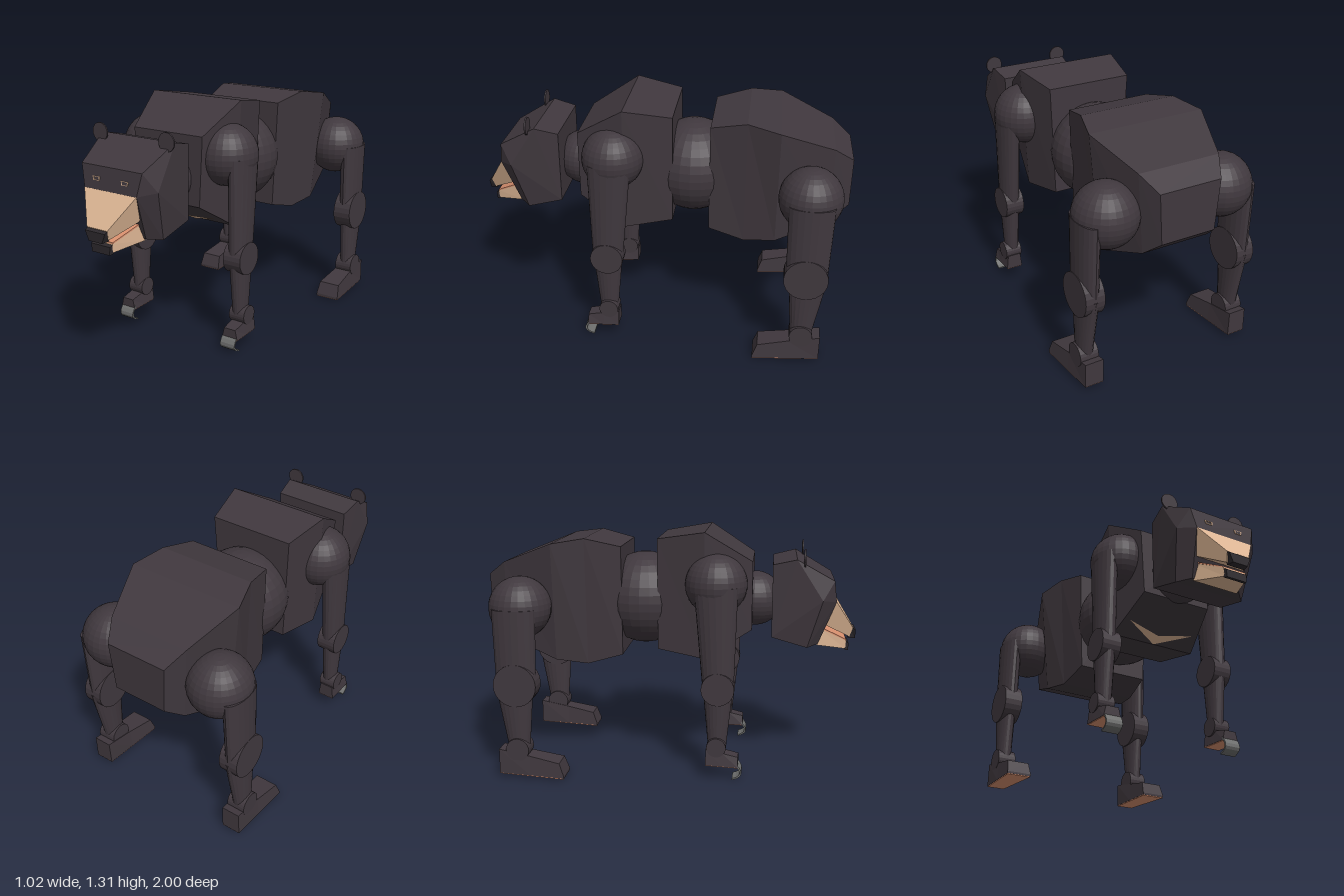
import * as THREE from 'three';
import { ConvexGeometry } from 'three/addons/geometries/ConvexGeometry.js';

const mat = (name, color) => {
  const m = new THREE.MeshStandardMaterial({ color });
  m.name = name;
  return m;
};

export function createModel() {
  const fur = mat('dark fur', 0x40383e);
  const tan = mat('tan fur', 0xe0b896);
  const pink = mat('pink skin', 0xd9906f);
  const black = mat('nose', 0x2c282c);
  const grey = mat('claw grey', 0x6e6f6e);

  const bear = new THREE.Group();
  bear.name = 'bear';

  // Faceted mesh helper
  const add = (parent, name, geometry, material, x = 0, y = 0, z = 0) => {
    const g = geometry.index ? geometry.toNonIndexed() : geometry;
    g.computeVertexNormals();
    const mesh = new THREE.Mesh(g, material);
    mesh.name = name;
    mesh.position.set(x, y, z);
    parent.add(mesh);
    return mesh;
  };

  // Four-sided body from rings [z, top, bottom, half width at top, half width at bottom], back to front
  const loft = (rings) => {
    const pos = [], idx = [];
    for (const [z, t, b, xt, xb = xt] of rings) pos.push(xt, t, z, -xt, t, z, -xb, b, z, xb, b, z);
    const n = rings.length;
    for (let i = 0; i < n - 1; i++) {
      for (let j = 0; j < 4; j++) {
        const a = i * 4 + j, b = i * 4 + (j + 1) % 4;
        idx.push(a, b, b + 4, a, b + 4, a + 4);
      }
    }
    const e = (n - 1) * 4;
    idx.push(0, 2, 1, 0, 3, 2, e, e + 1, e + 2, e, e + 2, e + 3);
    const g = new THREE.BufferGeometry();
    g.setAttribute('position', new THREE.Float32BufferAttribute(pos, 3));
    g.setIndex(idx);
    return g;
  };

  // Convex solid from points given for one side and mirrored
  const mirrored = (pts) => new ConvexGeometry(
    pts.flatMap(([x, y, z]) => [new THREE.Vector3(x, y, z), new THREE.Vector3(-x, y, z)]));

  // Tapered oval limb between two ends [y, z, half width, half depth]
  const limb = (top, bottom) => {
    const g = new THREE.CylinderGeometry(1, 1, 1, 20);
    const p = g.attributes.position;
    for (let i = 0; i < p.count; i++) {
      const [y, z, w, d] = top.map((v, k) => THREE.MathUtils.lerp(bottom[k], v, p.getY(i) + 0.5));
      p.setXYZ(i, p.getX(i) * w, y, z + p.getZ(i) * d);
    }
    return g;
  };

  const ball = (r) => new THREE.SphereGeometry(r, 28, 18);
  const joint = (r, width) => new THREE.CylinderGeometry(r, r, width, 24).rotateZ(Math.PI / 2);

  // Trunk
  add(bear, 'chest', loft([
    [-0.065, 1.275, 0.675, 0.235, 0.21],
    [0.19, 1.316, 0.635, 0.285, 0.25],
    [0.44, 1.16, 0.79, 0.22, 0.2],
  ]), fur);
  add(bear, 'waist', ball(0.255), fur, 0, 0.925, -0.16);
  add(bear, 'rump', loft([
    [-1, 1.065, 0.8, 0.17, 0.15],
    [-0.9, 1.14, 0.715, 0.225, 0.19],
    [-0.62, 1.25, 0.61, 0.322, 0.255],
    [-0.45, 1.275, 0.585, 0.27, 0.225],
    [-0.26, 1.23, 0.635, 0.23, 0.205],
  ]), fur);
  add(bear, 'neck', ball(0.15), fur, 0, 0.93, 0.45);

  // Pale V on the underside slope of the chest
  const markPoint = (x, y) => [x, y - 0.005, 0.19 + (y - 0.635) * 1.613 + 0.003];
  const mark = new THREE.BufferGeometry();
  mark.setAttribute('position', new THREE.Float32BufferAttribute([
    ...markPoint(-0.2, 0.695), ...markPoint(0, 0.637), ...markPoint(0, 0.668),
    ...markPoint(0, 0.637), ...markPoint(0.2, 0.695), ...markPoint(0, 0.668),
  ], 3));
  add(bear, 'chestMark', mark, tan);

  // Head
  const head = new THREE.Group();
  head.name = 'head';
  bear.add(head);
  add(head, 'skull', mirrored([
    [0.215, 1.145, 0.545], [0.21, 0.755, 0.545], [0.23, 1.175, 0.67], [0.2, 0.7, 0.735],
    [0.235, 0.96, 0.81], [0.19, 1.06, 0.87], [0.165, 0.945, 0.885], [0.14, 0.71, 0.795],
  ]), fur);
  add(head, 'muzzle', mirrored([
    [0.165, 0.945, 0.886], [0.14, 0.81, 0.84], [0.15, 0.9, 0.8],
    [0.065, 0.787, 0.985], [0.055, 0.735, 0.968],
  ]), tan);
  add(head, 'nose', loft([[0.96, 0.797, 0.727, 0.067, 0.05], [1.0, 0.775, 0.725, 0.063, 0.042]]), black);
  add(head, 'lowerJaw', loft([[0.79, 0.8, 0.7, 0.135, 0.13], [0.95, 0.715, 0.667, 0.065, 0.06]]), tan);
  add(head, 'mouth', loft([[0.8, 0.804, 0.796, 0.135], [0.95, 0.721, 0.714, 0.066]]), pink);
  add(head, 'jawTip', loft([[0.945, 0.712, 0.662, 0.064, 0.062], [0.965, 0.7, 0.658, 0.06, 0.056]]), black);

  for (const s of [1, -1]) {
    // Ears: thin upright discs
    add(head, 'ear', new THREE.CylinderGeometry(0.048, 0.048, 0.008, 20).rotateX(Math.PI / 2),
      fur, s * 0.21, 1.182, 0.71);

    // Eyes: thin outlines on the face
    const outline = (k) => [[-0.023, 0.01], [-0.017, -0.01], [0.02, -0.01], [0.023, 0.01]]
      .map(([x, y]) => new THREE.Vector2(-s * x * k, y * k));
    const eye = new THREE.Shape(outline(1));
    eye.holes.push(new THREE.Path(outline(0.74)));
    add(head, 'eye', new THREE.ExtrudeGeometry(eye, { depth: 0.005, bevelEnabled: false }),
      tan, s * 0.09, 0.998, 0.877).rotation.x = -0.13;
  }

  // Claw strip: curved profile in (z, y), swept across x
  const clawShape = new THREE.Shape();
  clawShape.moveTo(0.375, 0.1);
  clawShape.quadraticCurveTo(0.445, 0.03, 0.355, 0.008);
  clawShape.lineTo(0.355, 0.016);
  clawShape.quadraticCurveTo(0.425, 0.035, 0.375, 0.085);
  const claw = new THREE.ExtrudeGeometry(clawShape, { depth: 0.09, bevelEnabled: false, curveSegments: 6 })
    .translate(0, 0, -0.045).rotateY(-Math.PI / 2);

  for (const s of [1, -1]) {
    // Front legs
    const front = new THREE.Group();
    front.name = s > 0 ? 'leftFrontLeg' : 'rightFrontLeg';
    bear.add(front);
    const fx = s * 0.343;
    add(front, 'shoulder', ball(0.165), fur, s * 0.24, 1.04, 0.25);
    add(front, 'upperArm', limb([1.04, 0.255, 0.056, 0.115], [0.5, 0.272, 0.05, 0.083]), fur, fx);
    add(front, 'elbow', joint(0.088, 0.106), fur, fx, 0.505, 0.272);
    add(front, 'forearm', limb([0.5, 0.272, 0.05, 0.08], [0.17, 0.27, 0.037, 0.048]), fur, fx);
    add(front, 'wrist', joint(0.052, 0.094), fur, s * 0.35, 0.185, 0.268);
    add(front, 'paw', loft([
      [0.212, 0.17, 0.088, 0.038, 0.048], [0.3, 0.155, 0.084, 0.038, 0.048], [0.385, 0.135, 0.08, 0.035, 0.048],
    ]), fur, s * 0.352);
    add(front, 'pawPad', loft([[0.214, 0.09, 0.084, 0.046], [0.385, 0.082, 0.076, 0.046]]), pink, s * 0.352);
    add(front, 'claws', claw.clone(), grey, s * 0.35);

    // Hind legs
    const hind = new THREE.Group();
    hind.name = s > 0 ? 'leftHindLeg' : 'rightHindLeg';
    bear.add(hind);
    const hx = s * 0.443;
    add(hind, 'hip', ball(0.167), fur, s * 0.328, 0.912, -0.79);
    add(hind, 'thigh', limb([0.92, -0.795, 0.053, 0.118], [0.52, -0.795, 0.051, 0.108]), fur, hx);
    add(hind, 'knee', joint(0.115, 0.105), fur, hx, 0.52, -0.79);
    add(hind, 'shin', limb([0.52, -0.805, 0.05, 0.104], [0.17, -0.788, 0.04, 0.058]), fur, hx);
    add(hind, 'ankle', joint(0.062, 0.102), fur, hx, 0.165, -0.788);
    add(hind, 'foot', loft([
      [-0.89, 0.165, 0.032, 0.05, 0.052],
      [-0.72, 0.132, 0.026, 0.052, 0.06],
      [-0.56, 0.1, 0.02, 0.062, 0.068],
      [-0.535, 0.03, 0.018, 0.07, 0.07],
    ]), fur, s * 0.44);
    add(hind, 'footPad', loft([[-0.888, 0.034, 0.028, 0.05], [-0.537, 0.02, 0.014, 0.068]]), pink, s * 0.44);
  }
  return bear;
}
